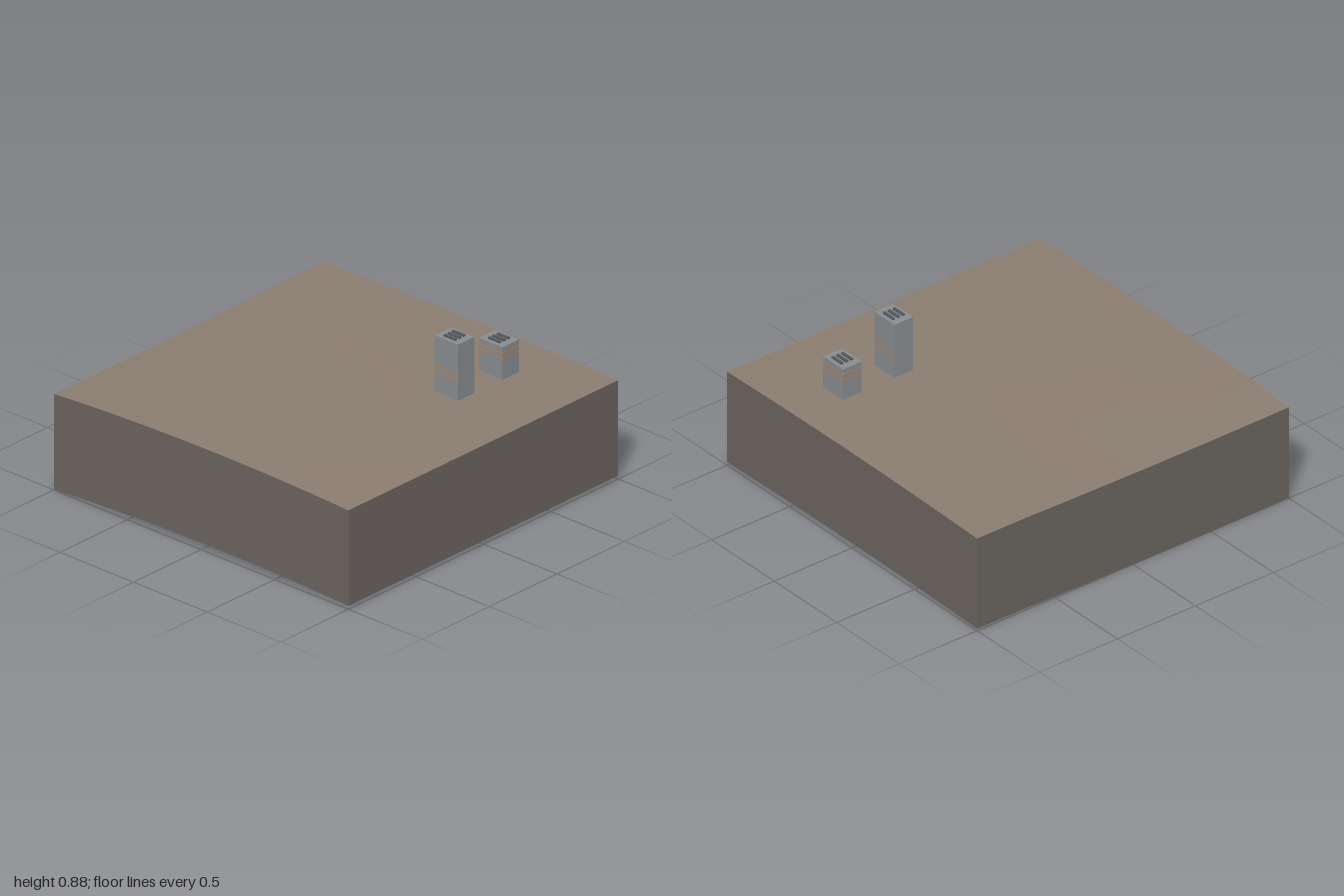
import * as THREE from 'three';

const material = (name, color, side = THREE.FrontSide) => {
  const m = new THREE.MeshStandardMaterial({ color, side });
  m.name = name;
  return m;
};

const SEGMENTS = 24;
const DEPTH = 0.533;

// Gentle ridge running along x, lower at the front and back edges
const ridge = new THREE.SplineCurve([
  [-1, 0.573], [-0.6, 0.577], [-0.2, 0.573], [0.2, 0.565], [0.6, 0.561], [1, 0.562],
].map(([x, y]) => new THREE.Vector2(x, y)));

function groundHeight(x, z) {
  const crest = ridge.getPoint((x + 1) / 2).y;
  const front = 0.553;
  const back = 0.534 + 0.011 * Math.min(1, ((x + 0.4) / 1.1) ** 2);
  const edge = THREE.MathUtils.lerp(back, front, (z + 1) / 2);
  const middle = (front + back) / 2;
  return edge + (crest - middle) * (1 - z * z);
}

// Surface built from a rule over a grid of u, v in 0..1
function surface(columns, rows, rule) {
  const geometry = new THREE.PlaneGeometry(1, 1, columns, rows);
  const p = geometry.attributes.position;
  for (let i = 0; i < p.count; i++) {
    p.setXYZ(i, ...rule(p.getX(i) + 0.5, 0.5 - p.getY(i)));
  }
  geometry.computeVertexNormals();
  return geometry;
}

export function createModel() {
  const model = new THREE.Group();
  const soil = material('soil brown', 0x8b7d70, THREE.DoubleSide);
  const rock = material('rock grey brown', 0x6b6560, THREE.DoubleSide);
  const concrete = material('concrete grey', 0x888d90);
  const dark = material('vent dark grey', 0x555a5e);
  const orange = material('stripe orange', 0xc88047);

  const add = (parent, name, geometry, mat, x = 0, y = 0, z = 0) => {
    const mesh = new THREE.Mesh(geometry, mat);
    mesh.name = name;
    mesh.position.set(x, y, z);
    parent.add(mesh);
    return mesh;
  };

  // Rolling ground
  add(model, 'ground', surface(SEGMENTS, SEGMENTS, (u, v) => {
    const x = u * 2 - 1, z = v * 2 - 1;
    return [x, groundHeight(x, z), z];
  }), soil);

  // Skirt walls that follow the ground edge; the underside stays open
  const sides = {
    frontWall: (t) => [t, 1],
    rightWall: (t) => [1, -t],
    backWall: (t) => [-t, -1],
    leftWall: (t) => [-1, t],
  };
  for (const [name, edge] of Object.entries(sides)) {
    add(model, name, surface(SEGMENTS, 1, (u, v) => {
      const [x, z] = edge(u * 2 - 1);
      return [x, groundHeight(x, z) - v * DEPTH, z];
    }), rock);
  }

  // Block towers with roof vents and thin painted stripes
  function tower(name, x, top, stripeFront) {
    const group = new THREE.Group();
    group.name = name;
    group.position.set(x, 0, 0.5);
    const base = 0.552, width = 0.12, length = 0.16;
    add(group, 'towerBody', new THREE.BoxGeometry(width, top - base, length), concrete, 0, (top + base) / 2, 0);
    for (const dx of [-0.031, 0, 0.031]) {
      add(group, 'roofVent', new THREE.BoxGeometry(0.015, 0.009, 0.08), dark, dx, top + 0.0045, 0);
    }
    for (const y of [0.677, 0.71]) {
      for (const s of [-1, 1]) {
        add(group, 'sideStripe', new THREE.BoxGeometry(0.002, 0.006, length), orange, s * width / 2, y, 0);
        if (stripeFront) {
          add(group, 'endStripe', new THREE.BoxGeometry(width, 0.006, 0.002), orange, 0, y, s * length / 2);
        }
      }
    }
    model.add(group);
  }
  tower('tallTower', 0.332, 0.875, false);
  tower('shortTower', 0.662, 0.741, true);

  return model;
}
